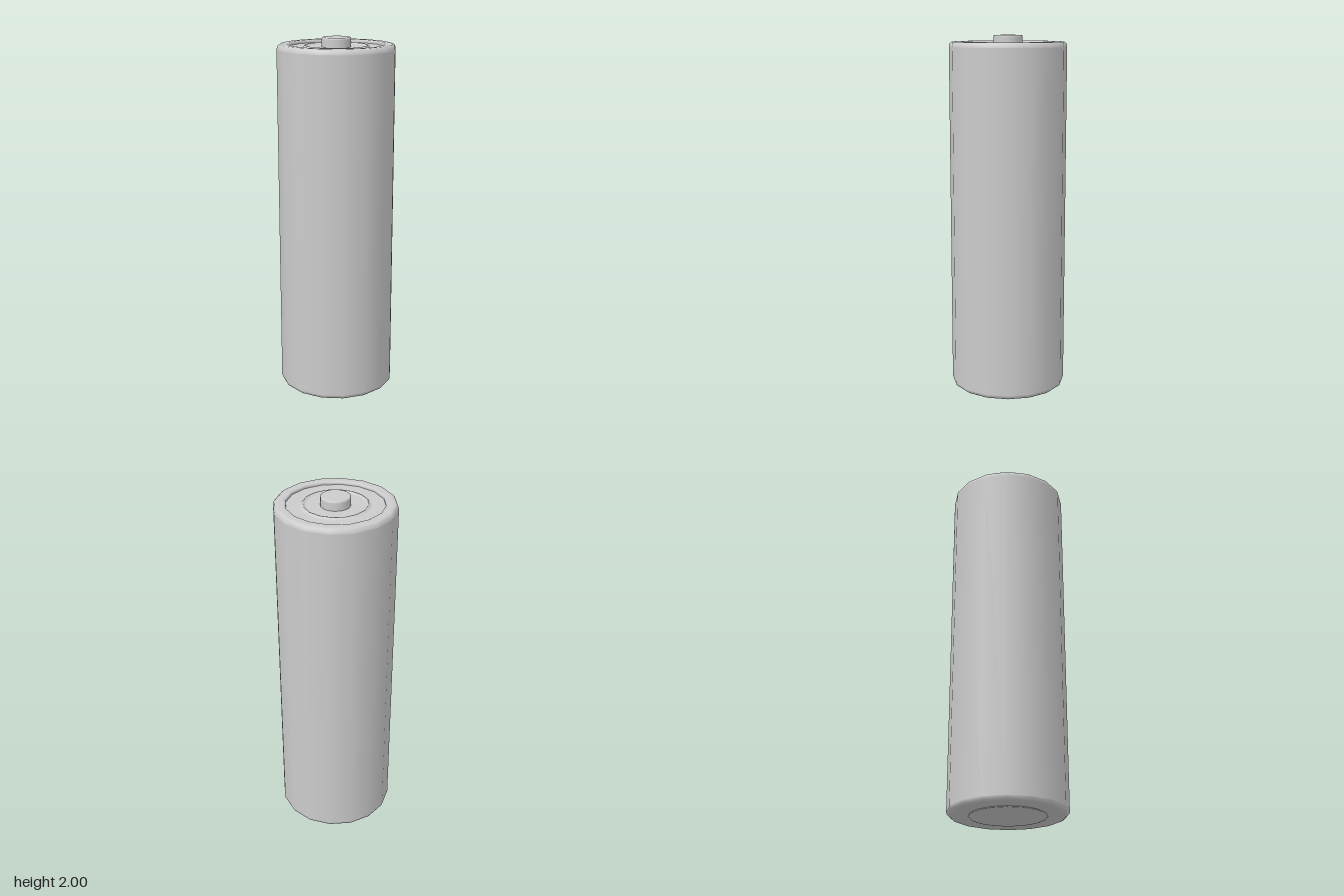
import * as THREE from 'three';

const SIDES = 16;
const material = new THREE.MeshStandardMaterial({ color: 0xcccccc });

// Revolves a [radius, height] profile, listed from bottom to top, around y
function turned(name, profile) {
  const points = profile.map(([r, y]) => new THREE.Vector2(r, y));
  const mesh = new THREE.Mesh(new THREE.LatheGeometry(points, SIDES), material);
  mesh.name = name;
  return mesh;
}

export function createModel() {
  const group = new THREE.Group();
  group.name = 'battery';

  // Casing with rounded ends and a raised rim around the recessed top
  group.add(turned('casing', [
    [0.2, 0.005], [0.3, 0.005], [0.311, 0.006], [0.32, 0.013], [0.325, 0.025],
    [0.325, 0.03], [0.325, 1.935], [0.325, 1.94], [0.32, 1.955], [0.311, 1.963],
    [0.3, 1.965], [0.27, 1.965], [0.263, 1.962], [0.26, 1.957], [0.26, 1.945],
  ]));

  // Flat contact on the underside
  group.add(turned('negativeContact', [
    [0, 0], [0.205, 0], [0.209, 0.001], [0.21, 0.006],
  ]));

  // Recessed top plate with a thin raised ring
  group.add(turned('topPlate', [
    [0.262, 1.948], [0.19, 1.948], [0.181, 1.949], [0.174, 1.957],
    [0.169, 1.957], [0.162, 1.949], [0.155, 1.948], [0, 1.948],
  ]));

  // Central terminal
  group.add(turned('positiveTerminal', [
    [0.08, 1.946], [0.08, 1.99], [0.079, 1.996], [0.074, 2], [0.068, 2], [0, 2],
  ]));

  return group;
}
